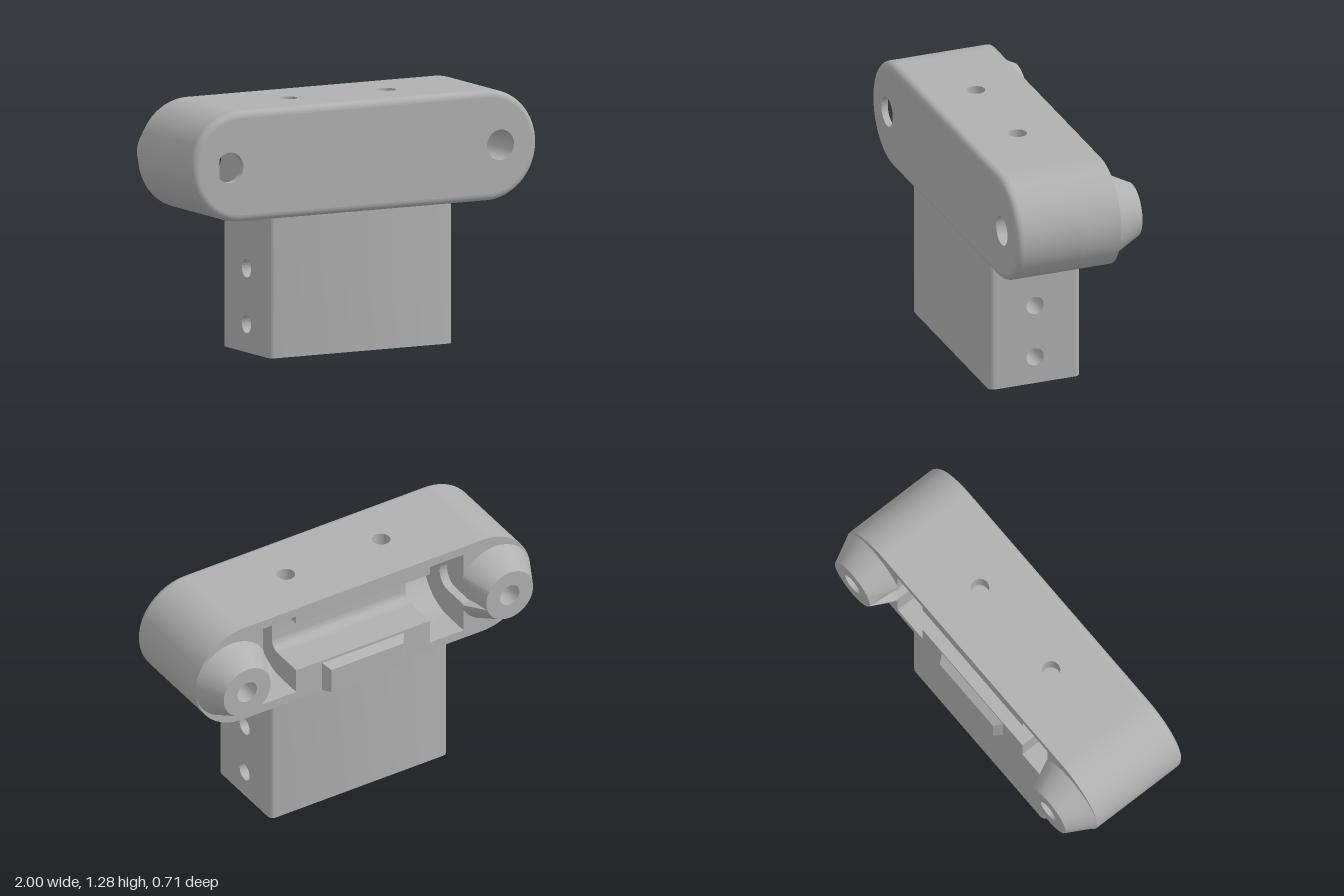
import * as THREE from 'three';
import { toCreasedNormals } from 'three/addons/utils/BufferGeometryUtils.js';

const CY = 1, R = 0.283, CX = 0.717;          // rounded head: centre height, end radius, end centres
const BACK = -0.21, EDGE = 0.32, FRONT = 0.355;
const BOLT_X = 0.785;

export function createModel() {
  const group = new THREE.Group();
  const grey = new THREE.MeshStandardMaterial({ color: 0xb0b0b0 });
  grey.name = 'grey';

  const add = (name, geo) => {
    const mesh = new THREE.Mesh(toCreasedNormals(geo, 0.5), grey);
    mesh.name = name;
    group.add(mesh);
  };
  const poly = (pts) => new THREE.Shape(pts.map(([a, b]) => new THREE.Vector2(a, b)));
  const hole = (shape, x, y, r) => {
    shape.holes.push(new THREE.Path().absarc(x, y, r, 0, Math.PI * 2, true));
    return shape;
  };
  const extrude = (shape, depth) =>
    new THREE.ExtrudeGeometry(shape, { depth, bevelEnabled: false, curveSegments: 24 });
  // Extrusions along each axis: x takes (z, y), y takes (x, -z), z takes (x, y) shapes
  const alongX = (s, x0, x1) => extrude(s, x1 - x0).rotateY(-Math.PI / 2).translate(x1, 0, 0);
  const alongY = (s, y0, y1) => extrude(s, y1 - y0).rotateX(-Math.PI / 2).translate(0, y0, 0);
  const alongZ = (s, z0, z1) => extrude(s, z1 - z0).translate(0, 0, z0);

  // Post core with two cross holes
  const core = poly([[-0.145, 0], [0.29, 0], [0.29, 0.72], [-0.145, 0.72]]);
  for (const y of [0.145, 0.43]) hole(core, 0.0725, y, 0.047);
  add('postCore', alongX(core, -0.53, 0.53));

  // Post faces with rounded upright edges
  for (const [name, z0, z1] of [['postFrontFace', 0.29, 0.32], ['postBackFace', -0.145, -0.175]]) {
    const s = new THREE.Shape();
    s.moveTo(-0.53, -z0);
    s.bezierCurveTo(-0.53, -z0 - (z1 - z0) * 0.55, -0.5165, -z1, -0.5, -z1);
    s.lineTo(0.5, -z1);
    s.bezierCurveTo(0.5165, -z1, 0.53, -z0 - (z1 - z0) * 0.55, 0.53, -z0);
    add(name, alongY(s, 0, 0.72));
  }

  // Middle of the head: long slot open to the back
  const slot = poly([[BACK, CY - R], [EDGE, CY - R], [EDGE, 1.19], [0.02, 1.19], [0.02, 0.96]]);
  const mid = new THREE.Shape(slot.getPoints());
  mid.quadraticCurveTo(0.02, 0.9, -0.04, 0.9);
  mid.lineTo(BACK, 0.9);
  add('headMiddle', alongX(mid, -0.4, 0.4));

  // Roof over the slot with two screw holes
  const roof = poly([[-0.4, -EDGE], [0.4, -EDGE], [0.4, -BACK], [-0.4, -BACK]]);
  for (const x of [-0.285, 0.285]) hole(roof, x, -0.07, 0.047);
  add('headRoof', alongY(roof, 1.19, CY + R));

  // Section of the head with a round-bottomed notch of half height h
  const notched = (h) => {
    const s = poly([[BACK, CY - R], [EDGE, CY - R], [EDGE, CY + R], [BACK, CY + R], [BACK, CY + h]]);
    const p = new THREE.Shape(s.getPoints());
    p.lineTo(-0.06, CY + h);
    p.absarc(-0.06, CY, h, Math.PI / 2, -Math.PI / 2, true);
    p.lineTo(BACK, CY - h);
    return p;
  };

  for (const s of [1, -1]) {
    const side = s > 0 ? 'left' : 'right';
    const span = (a, b) => (s > 0 ? [a, b] : [-b, -a]);

    add(side + 'DiscPocket', alongX(notched(0.235), ...span(0.4, 0.6)));
    add(side + 'AxleSlot', alongX(notched(0.075), ...span(0.6, 0.645)));

    // Rounded head end with stepped bolt hole
    const end = (r) => {
      const p = new THREE.Shape();
      p.moveTo(s * 0.645, CY - R);
      p.lineTo(s * CX, CY - R);
      if (s > 0) p.absarc(CX, CY, R, -Math.PI / 2, Math.PI / 2, false);
      else p.absarc(-CX, CY, R, Math.PI * 1.5, Math.PI / 2, true);
      p.lineTo(s * 0.645, CY + R);
      return hole(p, s * BOLT_X, CY, r);
    };
    add(side + 'EndBack', alongZ(end(0.058), BACK, 0));
    add(side + 'EndFront', alongZ(end(0.078), 0, EDGE));

    // Tapered boss, cut flat where the axle slot runs into it
    const profile = [[0.215, 0], [0.14, 0.145], [0.058, 0.145], [0.058, 0]];
    const boss = new THREE.LatheGeometry(profile.map(([r, y]) => new THREE.Vector2(r, y)), 120);
    boss.rotateX(-Math.PI / 2);
    const pos = boss.attributes.position;
    for (let i = 0; i < pos.count; i++) {
      const limit = Math.abs(pos.getY(i)) < 0.075 ? -0.14 : -0.19;
      if (pos.getX(i) * s < limit) pos.setX(i, limit * s);
    }
    add(side + 'Boss', boss.translate(s * BOLT_X, CY, BACK));
  }

  // Front plate with bolt holes
  const r = R - (FRONT - EDGE);
  const plate = new THREE.Shape();
  plate.absarc(CX, CY, r, -Math.PI / 2, Math.PI / 2, false);
  plate.absarc(-CX, CY, r, Math.PI / 2, Math.PI * 1.5, false);
  for (const x of [-BOLT_X, BOLT_X]) hole(plate, x, CY, 0.078);
  add('frontPlate', alongZ(plate, EDGE, FRONT));

  // Rounded rim around the front plate
  const verts = [], index = [], N = 64, M = 6;
  for (let i = 0; i < N; i++) {
    const a = -Math.PI / 2 + Math.PI * ((i % 32) / 31 + (i < 32 ? 0 : 1));
    for (let j = 0; j <= M; j++) {
      const b = (j / M) * Math.PI / 2;
      const rad = r + (R - r) * Math.cos(b);
      verts.push((i < 32 ? CX : -CX) + rad * Math.cos(a), CY + rad * Math.sin(a),
        EDGE + (FRONT - EDGE) * Math.sin(b));
      if (j < M) {
        const p = i * (M + 1) + j, q = ((i + 1) % N) * (M + 1) + j;
        index.push(p, q, p + 1, q, q + 1, p + 1);
      }
    }
  }
  const rim = new THREE.BufferGeometry();
  rim.setAttribute('position', new THREE.Float32BufferAttribute(verts, 3));
  rim.setIndex(index);
  add('frontRim', rim);

  // Raised catch on the back with sloping ends and top
  const pad = alongY(poly([[-0.245, 0.21], [-0.215, 0.25], [0.215, 0.25], [0.245, 0.21]]), 0.718, 0.885);
  const pp = pad.attributes.position;
  for (let i = 0; i < pp.count; i++) {
    if (pp.getY(i) > 0.8 && pp.getZ(i) < -0.23) pp.setY(i, 0.855);
  }
  add('backCatch', pad);

  return group;
}
